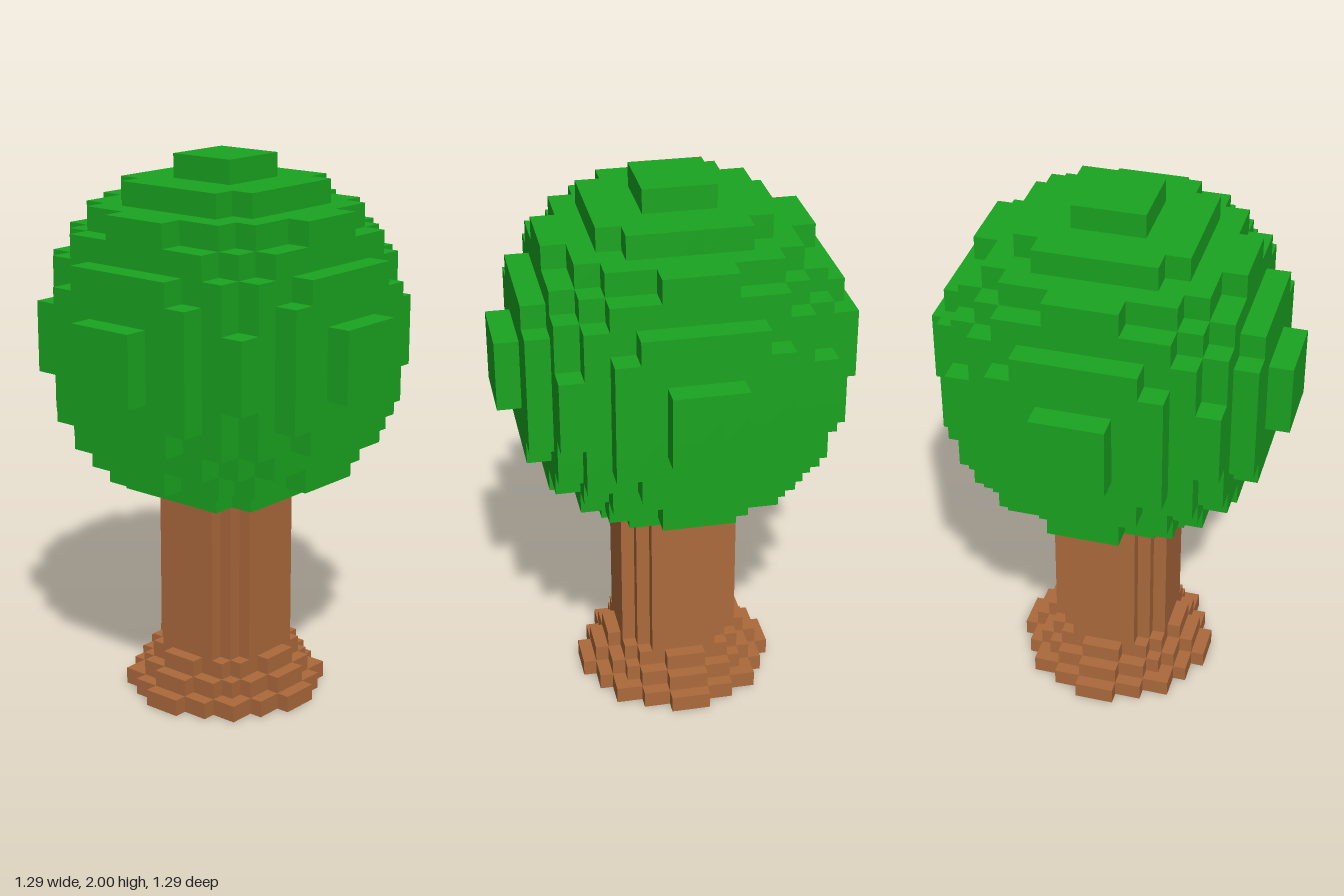
import * as THREE from 'three';
import { mergeGeometries } from 'three/addons/utils/BufferGeometryUtils.js';

const leafMat = new THREE.MeshStandardMaterial({ color: 0x1aa520, flatShading: true });
const barkMat = new THREE.MeshStandardMaterial({ color: 0xac6a3c, flatShading: true });

const CROWN_CELL = 0.086, CROWN_Y = 1.355, CROWN_R2 = 51;
const BARK_CELL = 0.048, STEP_H = 0.061;

// Outward normals of the six cell faces
const DIRS = [[1, 0, 0], [-1, 0, 0], [0, 1, 0], [0, -1, 0], [0, 0, 1], [0, 0, -1]]
  .map((d) => new THREE.Vector3(...d));

// Builds only the exposed faces of the blocks for which filled(x, y, z) is true
function voxelMesh(name, material, n, filled, w, h) {
  const faces = [];
  const forward = new THREE.Vector3(0, 0, 1);
  for (let x = -n; x <= n; x++) for (let y = -n; y <= n; y++) for (let z = -n; z <= n; z++) {
    if (!filled(x, y, z)) continue;
    for (const d of DIRS) {
      if (filled(x + d.x, y + d.y, z + d.z)) continue;
      const turn = new THREE.Quaternion().setFromUnitVectors(forward, d);
      faces.push(new THREE.PlaneGeometry(1, 1)
        .applyQuaternion(turn)
        .translate(x + d.x / 2, y + d.y / 2, z + d.z / 2)
        .scale(w, h, w));
    }
  }
  const mesh = new THREE.Mesh(mergeGeometries(faces), material);
  mesh.name = name;
  return mesh;
}

export function createModel() {
  const tree = new THREE.Group();
  tree.name = 'tree';

  // Crown: a ball of cubes, its lowest cap hidden in the trunk
  const crown = voxelMesh('crown', leafMat, 7,
    (x, y, z) => y >= -6 && x * x + y * y + z * z <= CROWN_R2, CROWN_CELL, CROWN_CELL);
  crown.position.y = CROWN_Y;

  // Trunk: one tall layer with a stepped round outline
  const trunkBottom = 3 * STEP_H, trunkTop = CROWN_Y - 6.5 * CROWN_CELL;
  const trunk = voxelMesh('trunk', barkMat, 4,
    (x, y, z) => y === 0 && x * x + z * z <= 20, BARK_CELL, trunkTop - trunkBottom);
  trunk.position.y = (trunkBottom + trunkTop) / 2;

  // Root flare: three discs, each one cell smaller than the one below
  const flare = voxelMesh('rootFlare', barkMat, 7,
    (x, y, z) => y >= 0 && y < 3 && x * x + z * z <= (7.2 - y) ** 2, BARK_CELL, STEP_H);
  flare.position.y = STEP_H / 2;

  tree.add(crown, trunk, flare);
  return tree;
}
